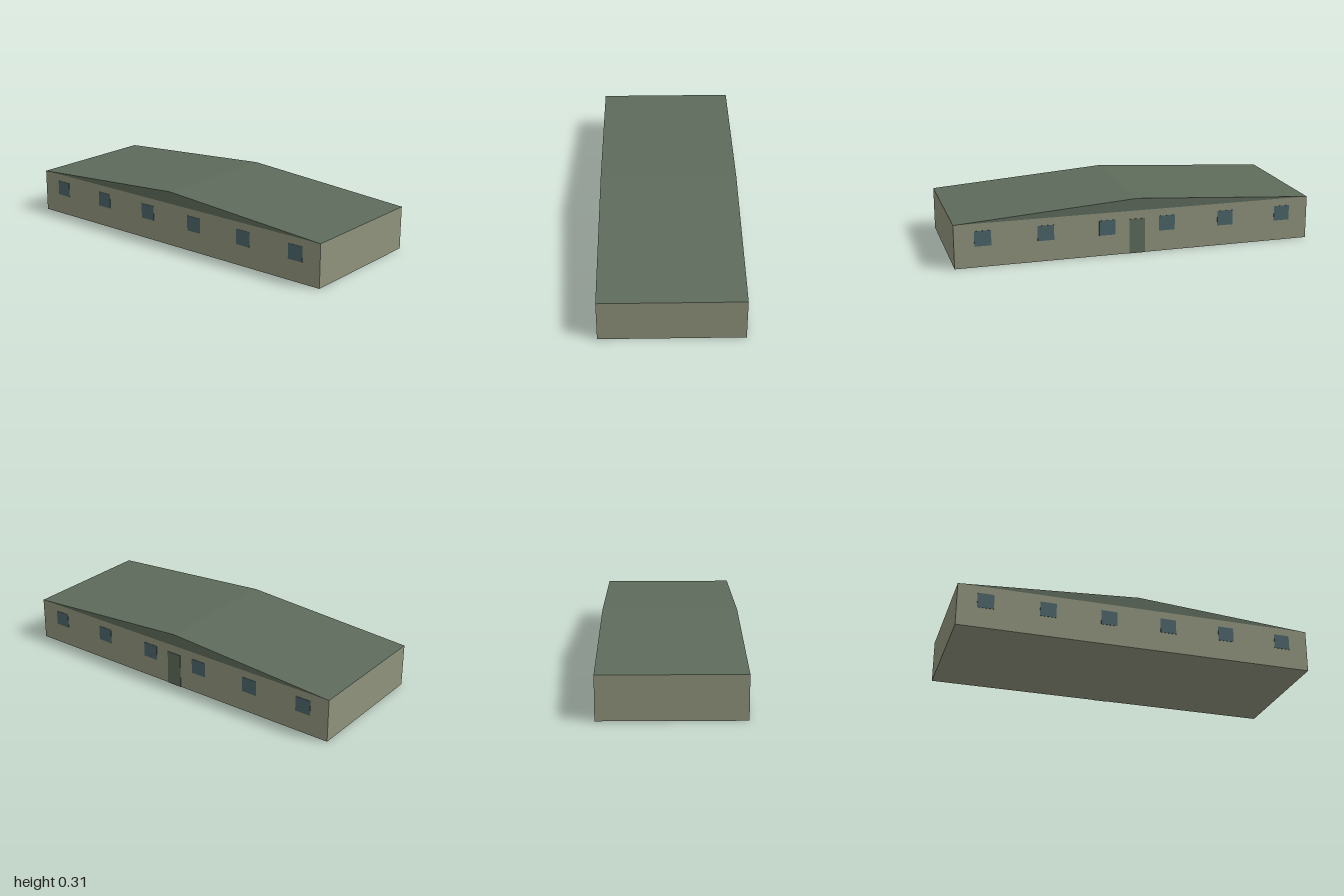
import * as THREE from 'three';

export function createModel() {
  const model = new THREE.Group();
  model.name = 'barracks';

  const material = (name, color) => {
    const m = new THREE.MeshStandardMaterial({ color });
    m.name = name;
    return m;
  };
  const wallPaint = material('wall olive', 0x90937d);
  const roofGreen = material('roof green', 0x5e6b5b);
  const glass = material('window blue', 0x4c6468);

  const wallHeight = 0.24, ridgeHeight = 0.308;
  const back = -0.383, front = 0.384, depth = front - back;

  const addBox = (name, mat, w, h, d, x, y, z) => {
    const mesh = new THREE.Mesh(new THREE.BoxGeometry(w, h, d), mat);
    mesh.name = name;
    mesh.position.set(x, y, z);
    model.add(mesh);
  };

  // Walls
  addBox('walls', wallPaint, 2, wallHeight, depth, 0, wallHeight / 2, (front + back) / 2);

  // Low gabled roof, flush with the walls, ridge running front to back
  const gable = new THREE.Shape([
    new THREE.Vector2(-1, wallHeight),
    new THREE.Vector2(1, wallHeight),
    new THREE.Vector2(0, ridgeHeight),
  ]);
  const roof = new THREE.Mesh(
    new THREE.ExtrudeGeometry(gable, { depth, bevelEnabled: false }), roofGreen);
  roof.name = 'roof';
  roof.position.z = back;
  model.add(roof);

  // Six windows along each long wall
  for (let i = 0; i < 6; i++) {
    const x = -0.847 + i * 0.3388;
    addBox('frontWindow', glass, 0.09, 0.084, 0.006, x, 0.157, front - 0.001);
    addBox('backWindow', glass, 0.09, 0.084, 0.006, x, 0.157, back + 0.001);
  }

  // Back door
  addBox('backDoor', roofGreen, 0.088, 0.194, 0.008, 0, 0.097, back + 0.001);

  return model;
}
